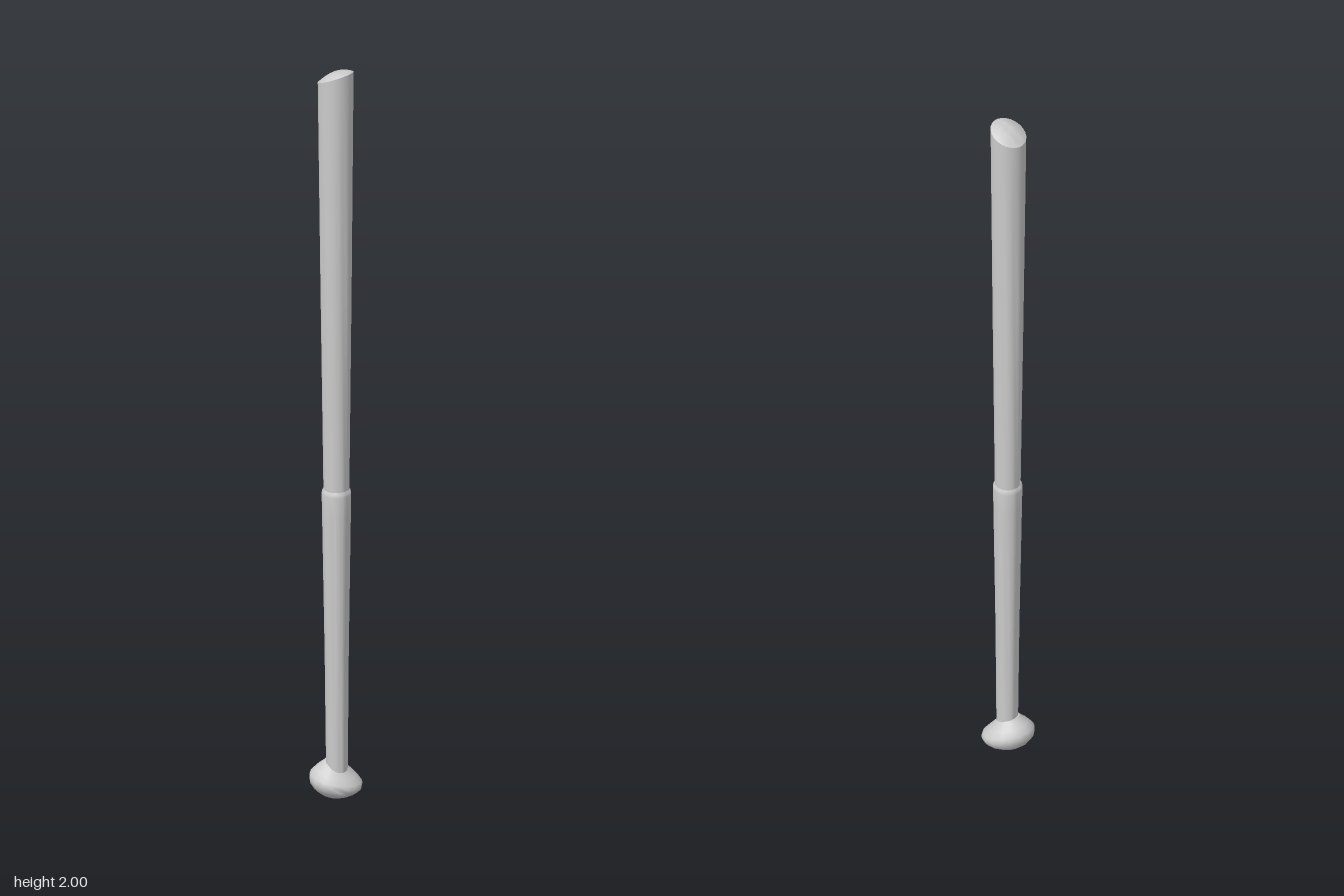
import * as THREE from 'three';
import { toCreasedNormals } from 'three/addons/utils/BufferGeometryUtils.js';

const material = new THREE.MeshStandardMaterial({ color: 0xcccccc });

// Turned part: profile of [radius, y] from bottom to top, then a rule that moves each vertex
function turned(name, profile, sides, rule, crease = 0.7) {
  const points = profile.map(([r, y]) => new THREE.Vector2(r, y));
  const geometry = new THREE.LatheGeometry(points, sides);
  const position = geometry.attributes.position;
  const v = new THREE.Vector3();
  for (let i = 0; i < position.count; i++) {
    v.fromBufferAttribute(position, i);
    rule(v);
    position.setXYZ(i, v.x, v.y, v.z);
  }
  const mesh = new THREE.Mesh(toCreasedNormals(geometry, crease), material);
  mesh.name = name;
  return mesh;
}

// The shaft leans very slightly from bottom to top
const lean = (v) => { v.x += 0.003 - 0.002 * v.y; };

export function createModel() {
  const group = new THREE.Group();
  group.name = 'bat';

  // Barrel: widening shaft closed by a slanted, domed end
  const rimY = 1.979, rimR = 0.046, dome = 0.016;
  const barrelProfile = [[0.033, 0.82], [0.04, 1.4], [rimR, rimY]];
  for (const t of [0.92, 0.8, 0.6, 0.4, 0.2, 0]) {
    barrelProfile.push([rimR * t, rimY + dome * (1 - t * t)]);
  }
  group.add(turned('barrel', barrelProfile, 24, (v) => {
    if (v.y > 1.9) v.y += 0.4 * v.x;
    lean(v);
  }));

  // Grip: tapered sleeve with a rounded lip, its lower end cut at a slant
  const gripProfile = [
    [0.0, 0.085], [0.028, 0.085], [0.031, 0.4], [0.037, 0.78],
    [0.038, 0.835], [0.037, 0.844], [0.034, 0.849], [0.031, 0.849],
  ];
  group.add(turned('grip', gripProfile, 24, (v) => {
    if (v.y < 0.1) v.y -= 0.4 * v.x;
    lean(v);
  }));

  // Knob: lopsided pommel, tilted more towards its top
  const knobProfile = [
    [0, 0], [0.25, 0.002], [0.55, 0.01], [0.83, 0.023], [0.97, 0.036],
    [1, 0.047], [0.95, 0.057], [0.75, 0.072], [0.5, 0.088], [0.44, 0.093], [0, 0.094],
  ];
  group.add(turned('knob', knobProfile, 16, (v) => {
    const a = Math.atan2(v.z, v.x) - 0.87;
    const r = 0.064 - 0.004 * Math.cos(a) - 0.005 * Math.cos(2 * a);
    v.x *= r;
    v.z *= r;
    v.y -= v.x * THREE.MathUtils.lerp(0.03, 0.36, v.y / 0.094);
  }, 1));

  return group;
}
